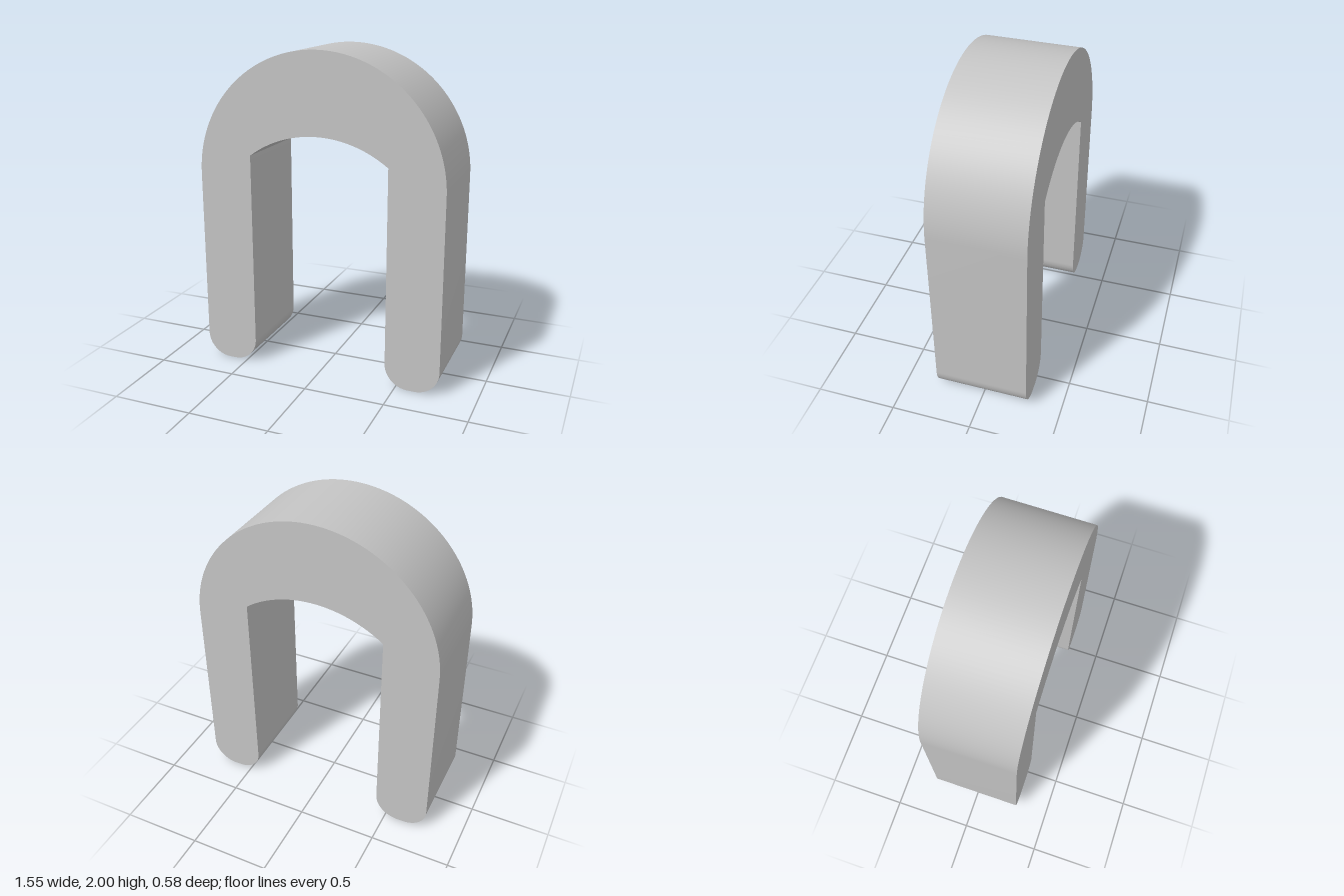
import * as THREE from 'three';
import { toCreasedNormals } from 'three/addons/utils/BufferGeometryUtils.js';

const OUTER = 0.775;      // outer half width and crown radius
const INNER = 0.435;      // inner half width
const SPRING = 1.225;     // height where the crown begins
const DEPTH = 0.58;
const CORNER = 0.15;      // rounding of the feet
const SOFFIT_R = 0.725;   // shallow arc under the crown
const SOFFIT_Y = 0.78;

export function createModel() {
  const grey = new THREE.MeshStandardMaterial({ color: 0xc4c4c4 });
  grey.name = 'plain grey';

  const shape = new THREE.Shape();
  const half = Math.PI / 2;
  const soffit = Math.acos(INNER / SOFFIT_R);

  // Crown, from right leg over to left leg
  shape.absarc(0, SPRING, OUTER, 0, Math.PI, false);
  // Foot on the -x side
  shape.absarc(-OUTER + CORNER, CORNER, CORNER, Math.PI, 3 * half, false);
  shape.absarc(-INNER - CORNER, CORNER, CORNER, -half, 0, false);
  // Underside of the crown
  shape.absarc(0, SOFFIT_Y, SOFFIT_R, Math.PI - soffit, soffit, true);
  // Foot on the +x side
  shape.absarc(INNER + CORNER, CORNER, CORNER, Math.PI, 3 * half, false);
  shape.absarc(OUTER - CORNER, CORNER, CORNER, -half, 0, false);
  shape.closePath();

  // Straight extrusion, smooth on the curves and sharp at the edges
  const solid = new THREE.ExtrudeGeometry(shape, { depth: DEPTH, bevelEnabled: false, curveSegments: 40 });
  solid.translate(0, 0, -DEPTH / 2);

  const arch = new THREE.Mesh(toCreasedNormals(solid, 0.5), grey);
  arch.name = 'arch';

  const group = new THREE.Group();
  group.name = 'archBlock';
  group.add(arch);
  return group;
}
